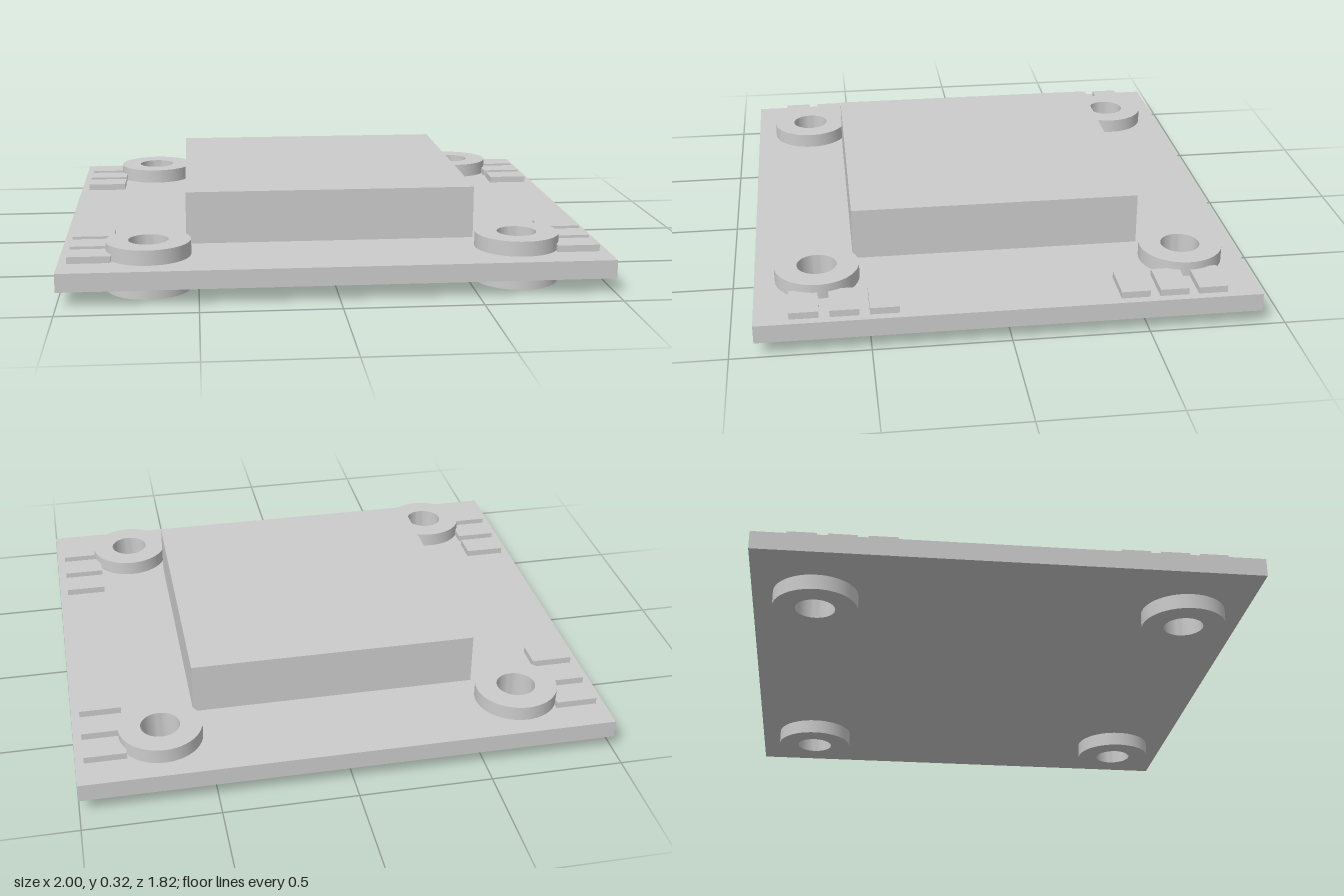
import * as THREE from 'three';
import { toCreasedNormals } from 'three/addons/utils/BufferGeometryUtils.js';

const BOARD_BOTTOM = 0.057, BOARD_TOP = 0.125;
const MOUNT = 0.68, NECK = 0.11;
const CORNERS = [[1, 1], [-1, 1], [-1, -1], [1, -1]];

export function createModel() {
  const model = new THREE.Group();
  const material = new THREE.MeshStandardMaterial({ color: 0xcccccc });

  const add = (name, geometry, x = 0, y = 0, z = 0) => {
    const mesh = new THREE.Mesh(geometry, material);
    mesh.name = name;
    mesh.position.set(x, y, z);
    model.add(mesh);
  };

  // Circuit board with four mounting holes
  const outline = new THREE.Shape([[-1, -0.91], [1, -0.91], [1, 0.91], [-1, 0.91]]
    .map(([x, y]) => new THREE.Vector2(x, y)));
  for (const [sx, sz] of CORNERS) {
    outline.holes.push(new THREE.Path().absarc(sx * MOUNT, sz * MOUNT, NECK, 0, Math.PI * 2, true));
  }
  const board = new THREE.ExtrudeGeometry(outline, {
    depth: BOARD_TOP - BOARD_BOTTOM, bevelEnabled: false, curveSegments: 24,
  });
  board.rotateX(-Math.PI / 2);
  add('board', board, 0, BOARD_BOTTOM, 0);

  // Raised block in the middle of the board
  const blockHeight = 0.322 - BOARD_TOP;
  add('centralBlock', new THREE.BoxGeometry(1.087, blockHeight, 1.087), 0, BOARD_TOP + blockHeight / 2, 0);

  // Grommet: two flanges and a neck that passes through the board
  const profile = [
    [0.073, 0], [0.155, 0], [0.155, BOARD_BOTTOM], [NECK, BOARD_BOTTOM],
    [NECK, BOARD_TOP], [0.155, BOARD_TOP], [0.155, 0.181], [0.073, 0.181], [0.073, 0],
  ].map(([r, y]) => new THREE.Vector2(r, y));
  const grommet = toCreasedNormals(new THREE.LatheGeometry(profile, 48), Math.PI / 5);

  // Solder pads: three beside each grommet
  const padHeight = 0.025;
  const pad = new THREE.BoxGeometry(0.156, padHeight, 0.105);

  for (const [sx, sz] of CORNERS) {
    add('grommet', grommet, sx * MOUNT, 0, sz * MOUNT);
    for (let i = 0; i < 3; i++) {
      add('solderPad', pad, sx * 0.89, BOARD_TOP + padHeight / 2, sz * (0.449 + i * 0.142));
    }
  }
  return model;
}
